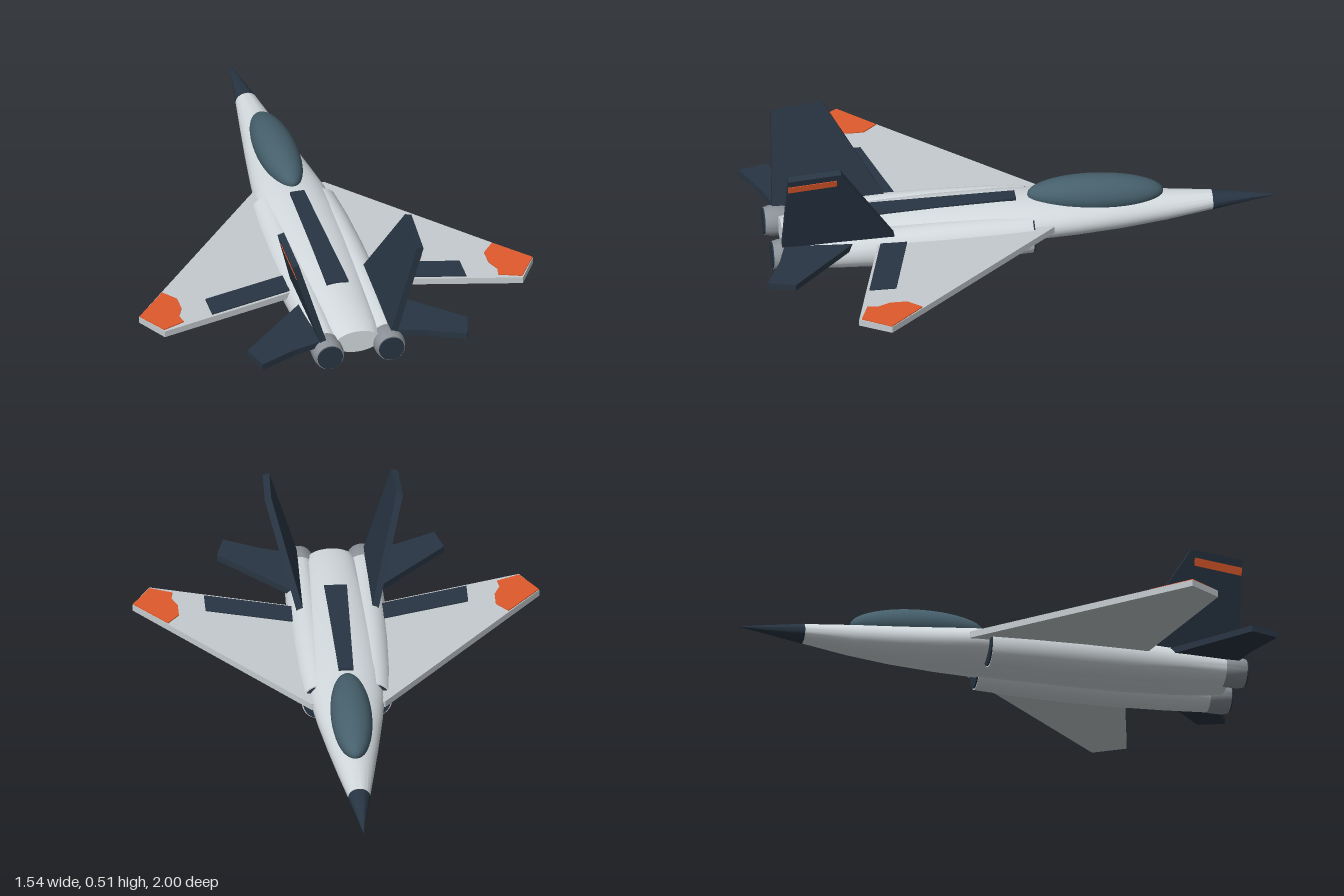
import * as THREE from 'three';
import { toCreasedNormals } from 'three/addons/utils/BufferGeometryUtils.js';

const mat = (color) => new THREE.MeshStandardMaterial({ color });
const HULL = mat(0xd3dade), WING = mat(0xc5cbcf), DARK = mat(0x283543);
const GLASS = mat(0x46606c), ORANGE = mat(0xe05a2c), METAL = mat(0x8b9197);

export function createModel() {
  const jet = new THREE.Group();
  jet.name = 'jetFighter';

  const add = (name, geometry, material, parent = jet) => {
    const mesh = new THREE.Mesh(geometry, material);
    mesh.name = name;
    parent.add(mesh);
    return mesh;
  };

  // Skin through elliptical sections [z, centreX, centreY, radiusX, radiusY], ordered nose to tail
  const loft = (sections, seg = 40) => {
    const pos = [], idx = [];
    for (const [z, cx, cy, rx, ry] of sections)
      for (let i = 0; i < seg; i++) {
        const a = (i / seg) * Math.PI * 2;
        pos.push(cx + rx * Math.cos(a), cy + ry * Math.sin(a), z);
      }
    const last = sections.length - 1, front = pos.length / 3;
    for (const k of [0, last]) pos.push(sections[k][1], sections[k][2], sections[k][0]);
    for (let r = 0; r < last; r++)
      for (let i = 0; i < seg; i++) {
        const a = r * seg + i, b = r * seg + ((i + 1) % seg);
        idx.push(a, b, a + seg, b, b + seg, a + seg);
      }
    for (let i = 0; i < seg; i++) {
      const j = (i + 1) % seg;
      idx.push(front, j, i, front + 1, last * seg + i, last * seg + j);
    }
    const g = new THREE.BufferGeometry();
    g.setAttribute('position', new THREE.Float32BufferAttribute(pos, 3));
    g.setIndex(idx);
    return toCreasedNormals(g, 0.6);
  };

  const plate = (points, depth) => new THREE.ExtrudeGeometry(
    new THREE.Shape(points.map(([x, y]) => new THREE.Vector2(x, y))), { depth, bevelEnabled: false });

  // Horizontal panel from [x, z] corners, rising outward by slope
  const slab = (side, points, y, depth, slope) => {
    const g = plate(points.map(([x, z]) => [x * side, -z]), depth).rotateX(-Math.PI / 2);
    const p = g.attributes.position;
    for (let i = 0; i < p.count; i++) p.setY(i, p.getY(i) + y + slope * Math.abs(p.getX(i)));
    g.computeVertexNormals();
    return g;
  };

  // Canted fin panel from [z, height] corners, shifted outward by offset
  const CANT = 0.285;
  const finPanel = (side, points, depth, offset) => {
    const g = plate(points, depth).translate(0, 0, -depth / 2 - side * offset);
    const s = Math.sin(CANT) * side, c = Math.cos(CANT);
    const m = new THREE.Matrix4().makeBasis(
      new THREE.Vector3(0, 0, 1), new THREE.Vector3(s, c, 0), new THREE.Vector3(-c, s, 0));
    return g.applyMatrix4(m.setPosition(0.138 * side, 0.13, 0));
  };

  // Body and nose
  add('fuselage', loft([
    [-0.75, 0, 0.106, 0.041, 0.036], [-0.57, 0, 0.1, 0.07, 0.055], [-0.4, 0, 0.098, 0.097, 0.067],
    [-0.22, 0, 0.1, 0.124, 0.074], [-0.1, 0, 0.104, 0.139, 0.078], [0.05, 0, 0.105, 0.145, 0.081],
    [0.3, 0, 0.104, 0.142, 0.08], [0.5, 0, 0.102, 0.13, 0.076], [0.7, 0, 0.101, 0.112, 0.066],
    [0.83, 0, 0.101, 0.1, 0.056], [0.895, 0, 0.101, 0.088, 0.046]]), HULL);
  add('noseCone', loft([
    [-1, 0, 0.107, 0.0005, 0.0005], [-0.9, 0, 0.107, 0.017, 0.015],
    [-0.75, 0, 0.106, 0.042, 0.037]]), DARK);

  // Canopy
  const canopy = add('canopy', new THREE.SphereGeometry(1, 40, 24), GLASS);
  canopy.scale.set(0.078, 0.071, 0.26);
  canopy.position.set(0, 0.178, -0.305);
  canopy.rotation.x = -0.05;

  // Dark strip along the back, sloping down to the tail
  const spine = plate([[-0.028, 0], [0.028, 0], [0.043, -0.6], [-0.043, -0.6]], 0.016).rotateX(-Math.PI / 2);
  const strip = add('spineStrip', spine, DARK);
  strip.position.y = 0.178;
  strip.rotation.x = 0.028;

  for (const side of [1, -1]) {
    const half = new THREE.Group();
    half.name = side > 0 ? 'leftSide' : 'rightSide';
    jet.add(half);
    const put = (name, geometry, material) => add(name, geometry, material, half);
    const x = (v) => v * side;

    // Engine
    put('engineNacelle', loft([
      [-0.05, x(0.105), 0.079, 0.066, 0.074], [0.1, x(0.11), 0.08, 0.071, 0.079],
      [0.3, x(0.114), 0.08, 0.074, 0.08], [0.5, x(0.117), 0.08, 0.072, 0.076],
      [0.7, x(0.119), 0.08, 0.066, 0.067], [0.86, x(0.12), 0.08, 0.058, 0.057]]), HULL);
    put('intakeFace', loft([
      [-0.056, x(0.105), 0.079, 0.061, 0.069], [-0.049, x(0.105), 0.079, 0.061, 0.069]]), DARK);
    put('nozzle', loft([
      [0.85, x(0.12), 0.08, 0.053, 0.053], [0.87, x(0.12), 0.08, 0.059, 0.059],
      [0.92, x(0.12), 0.08, 0.059, 0.059], [0.942, x(0.12), 0.08, 0.053, 0.053]]), METAL);
    put('exhaust', loft([
      [0.935, x(0.12), 0.08, 0.049, 0.049], [0.947, x(0.12), 0.08, 0.049, 0.049]]), DARK);

    // Wing with flap and tip marking
    put('wing', slab(side, [[0.05, -0.13], [0.14, -0.13], [0.77, 0.575], [0.7, 0.692], [0.05, 0.515]],
      0.095, 0.026, 0.02), WING);
    put('flap', slab(side, [[0.15, 0.43], [0.497, 0.522], [0.497, 0.625], [0.15, 0.532]],
      0.117, 0.008, 0.02), DARK);
    put('wingTipMarking', slab(side,
      [[0.645, 0.442], [0.768, 0.576], [0.7, 0.682], [0.614, 0.648], [0.622, 0.61], [0.6, 0.56], [0.6, 0.495]],
      0.117, 0.008, 0.02), ORANGE);

    // Tailplane
    put('tailplane', slab(side, [[0.11, 0.59], [0.43, 0.895], [0.4, 1], [0.26, 0.935], [0.11, 0.89]],
      0.103, 0.025, 0.02), DARK);

    // Tail fin with band
    put('tailFin', finPanel(side, [[0.47, 0], [0.91, 0], [0.9, 0.376], [0.7, 0.396]], 0.026, 0), DARK);
    put('finBand', finPanel(side, [[0.715, 0.335], [0.9, 0.315], [0.9, 0.346], [0.715, 0.366]], 0.006, 0.012), ORANGE);
  }
  return jet;
}
